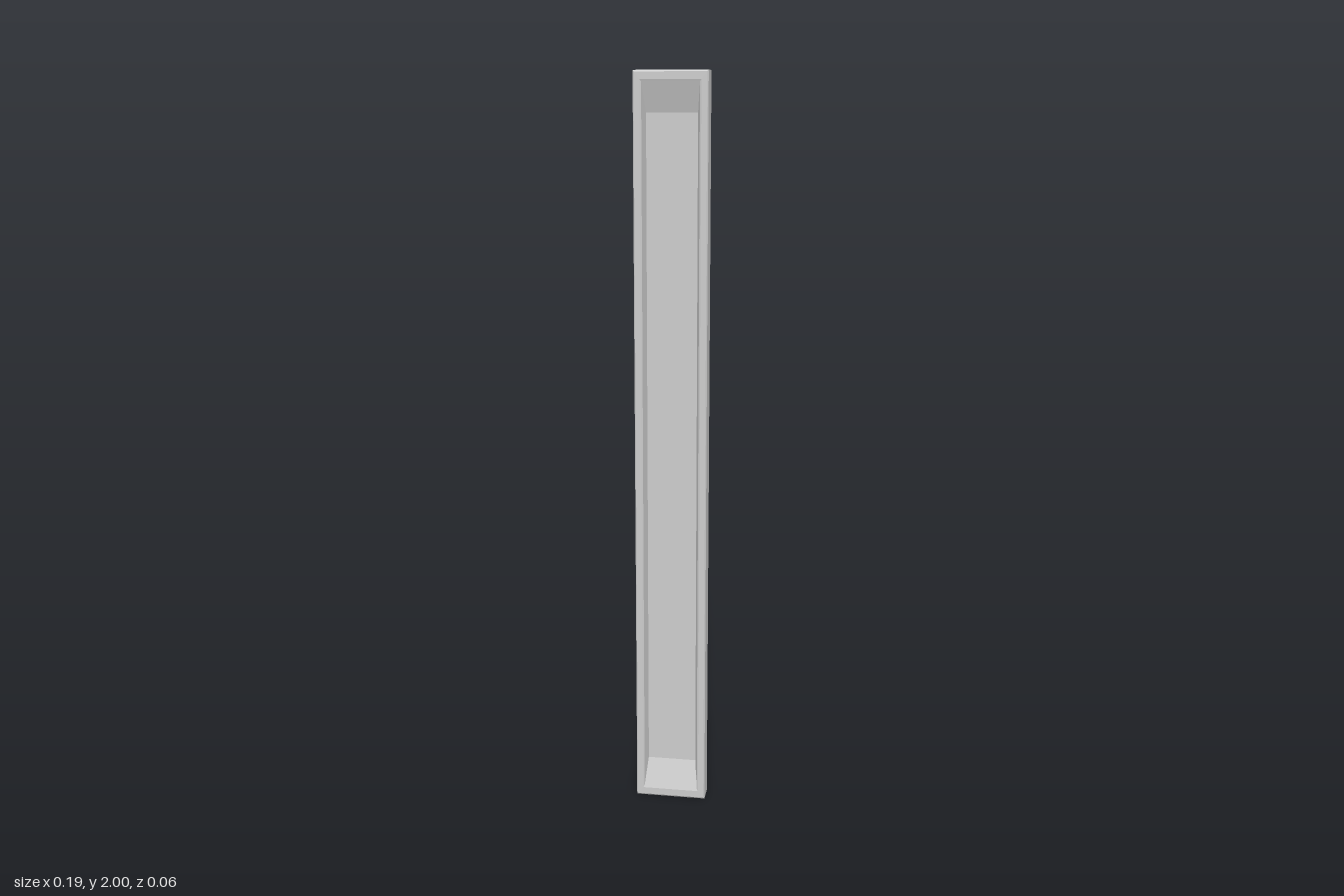
import * as THREE from 'three';

// Rectangular cross-sections from back to front, then down into the recess:
// [half width, half height, z]
const SECTIONS = [
  [0.094, 0.996, -0.029], // back face
  [0.097, 1.0, -0.026],   // back bevel
  [0.097, 1.0, 0.026],    // sides
  [0.094, 0.996, 0.029],  // front bevel
  [0.079, 0.977, 0.029],  // front rim
  [0.075, 0.971, 0.027],  // inner lip
  [0.067, 0.895, 0.002],  // sloped recess walls to floor
];

// Joins the rectangular sections and closes both ends
function loftRectangles(sections) {
  const points = [];
  const index = [];
  for (const [w, h, z] of sections) {
    points.push(-w, 1 - h, z, w, 1 - h, z, w, 1 + h, z, -w, 1 + h, z);
  }
  for (let i = 0; i < sections.length - 1; i++) {
    for (let j = 0; j < 4; j++) {
      const a = i * 4 + j;
      const b = i * 4 + (j + 1) % 4;
      index.push(a, b, b + 4, a, b + 4, a + 4);
    }
  }
  const last = (sections.length - 1) * 4;
  index.push(0, 2, 1, 0, 3, 2);
  index.push(last, last + 1, last + 2, last, last + 2, last + 3);

  const indexed = new THREE.BufferGeometry();
  indexed.setAttribute('position', new THREE.Float32BufferAttribute(points, 3));
  indexed.setIndex(index);
  const geometry = indexed.toNonIndexed();
  geometry.computeVertexNormals();
  return geometry;
}

export function createModel() {
  const group = new THREE.Group();
  group.name = 'recessedBar';
  const material = new THREE.MeshStandardMaterial({ color: 0xcccccc, flatShading: true });

  // Upright bar with a long tray-like recess in its front
  const bar = new THREE.Mesh(loftRectangles(SECTIONS), material);
  bar.name = 'recessedPanel';
  group.add(bar);
  return group;
}
